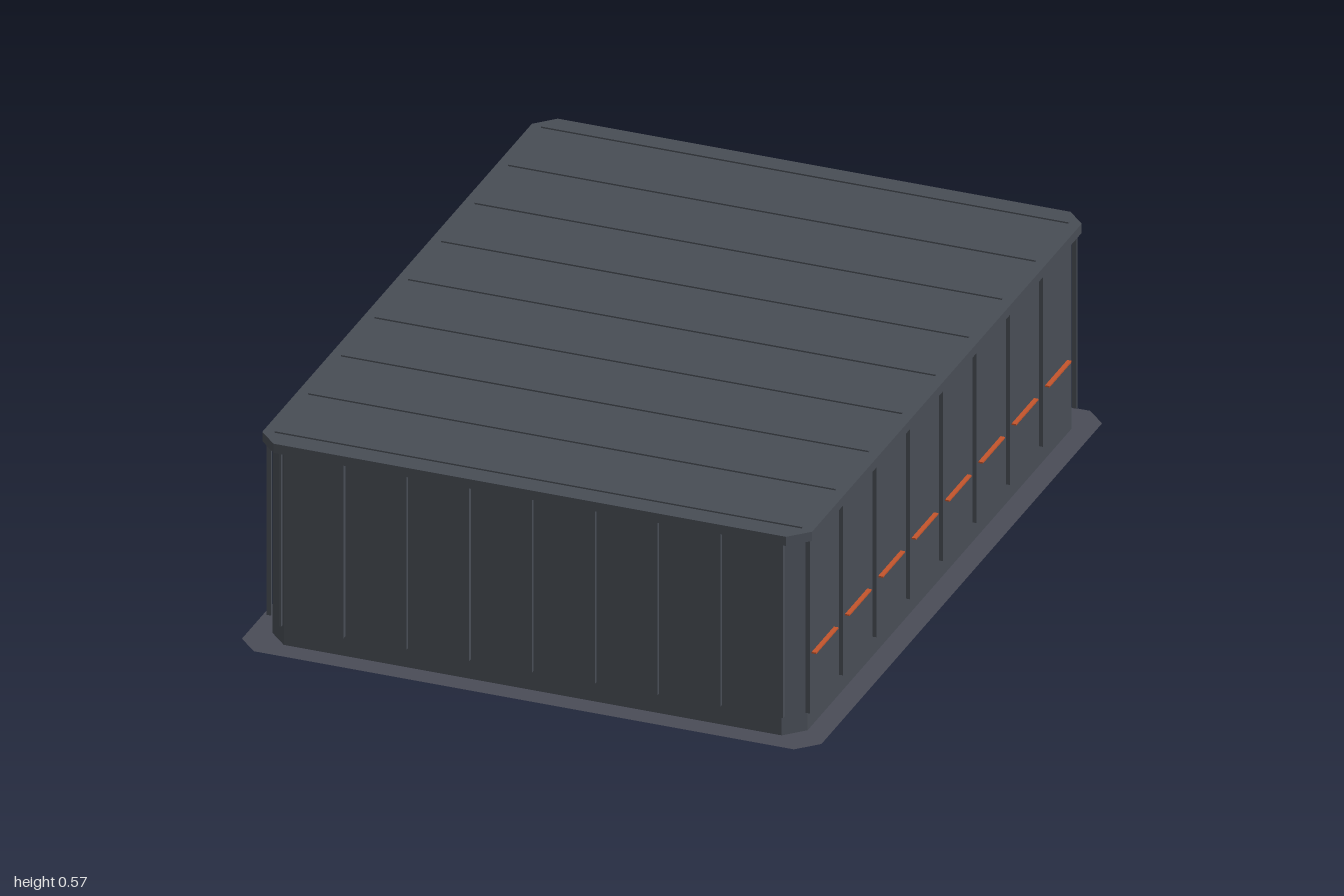
import * as THREE from 'three';

const mat = (name, color, side = THREE.FrontSide) => {
  const m = new THREE.MeshStandardMaterial({ color, side });
  m.name = name;
  return m;
};

// Rectangle with cut corners, half sizes x and z, corner cut c
function cutRect(x, z, c, Type = THREE.Shape) {
  return new Type([
    [x, z - c], [x - c, z], [c - x, z], [-x, z - c],
    [-x, c - z], [c - x, -z], [x - c, -z], [x, c - z],
  ].map(([a, b]) => new THREE.Vector2(a, b)));
}

// Upright slab from a plan shape, between two heights
function slab(shape, y0, y1) {
  const g = new THREE.ExtrudeGeometry(shape, { depth: y1 - y0, bevelEnabled: false });
  return g.rotateX(-Math.PI / 2).translate(0, y0, 0);
}

export function createModel() {
  const model = new THREE.Group();
  const shell = mat('slate grey', 0x484d55);
  const trim = mat('slate flange', 0x4a4c57, THREE.DoubleSide);
  const orange = mat('burnt orange', 0xc4552c);

  const add = (name, geometry, material, parent = model) => {
    const mesh = new THREE.Mesh(geometry, material);
    mesh.name = name;
    parent.add(mesh);
    return mesh;
  };
  const group = (name) => {
    const g = new THREE.Group();
    g.name = name;
    model.add(g);
    return g;
  };
  const box = (name, w, h, d, x, y, z, material, parent) =>
    add(name, new THREE.BoxGeometry(w, h, d), material, parent).position.set(x, y, z);

  // Hollow walls and a floor plate set in from them by a narrow gap
  const wallPlan = cutRect(0.72, 0.94, 0.05);
  wallPlan.holes.push(cutRect(0.7, 0.92, 0.045, THREE.Path));
  add('walls', slab(wallPlan, 0, 0.547), shell);
  add('floor', slab(cutRect(0.64, 0.86, 0.04), 0.01, 0.02), shell);

  // Lid
  add('lid', slab(cutRect(0.74, 0.96, 0.05), 0.545, 0.571), shell);

  // Paper-thin flange around the foot
  const flangePlan = cutRect(0.78, 1, 0.053);
  flangePlan.holes.push(cutRect(0.69, 0.91, 0.045, THREE.Path));
  add('flange', new THREE.ShapeGeometry(flangePlan).rotateX(-Math.PI / 2), trim);

  // Slim battens on all four walls and ribs across the lid
  const wallRibs = group('wallRibs');
  const lidRibs = group('lidRibs');
  for (let i = -4; i <= 4; i++) {
    for (const s of [-1, 1]) {
      box('endRib', 0.005, 0.49, 0.012, i * 0.169, 0.3, s * 0.945, shell, wallRibs);
      box('sideRib', 0.012, 0.49, 0.005, s * 0.725, 0.3, i * 0.225, shell, wallRibs);
    }
    box('lidRib', 1.42, 0.006, 0.006, 0, 0.572, i * 0.225, shell, lidRibs);
  }

  // Marker ledges between the ribs of the left wall
  const ledges = group('markerLedges');
  for (let i = 0; i < 8; i++) {
    box('markerLedge', 0.014, 0.004, 0.15, 0.725, 0.205, (i - 3.5) * 0.225, orange, ledges);
  }

  return model;
}
